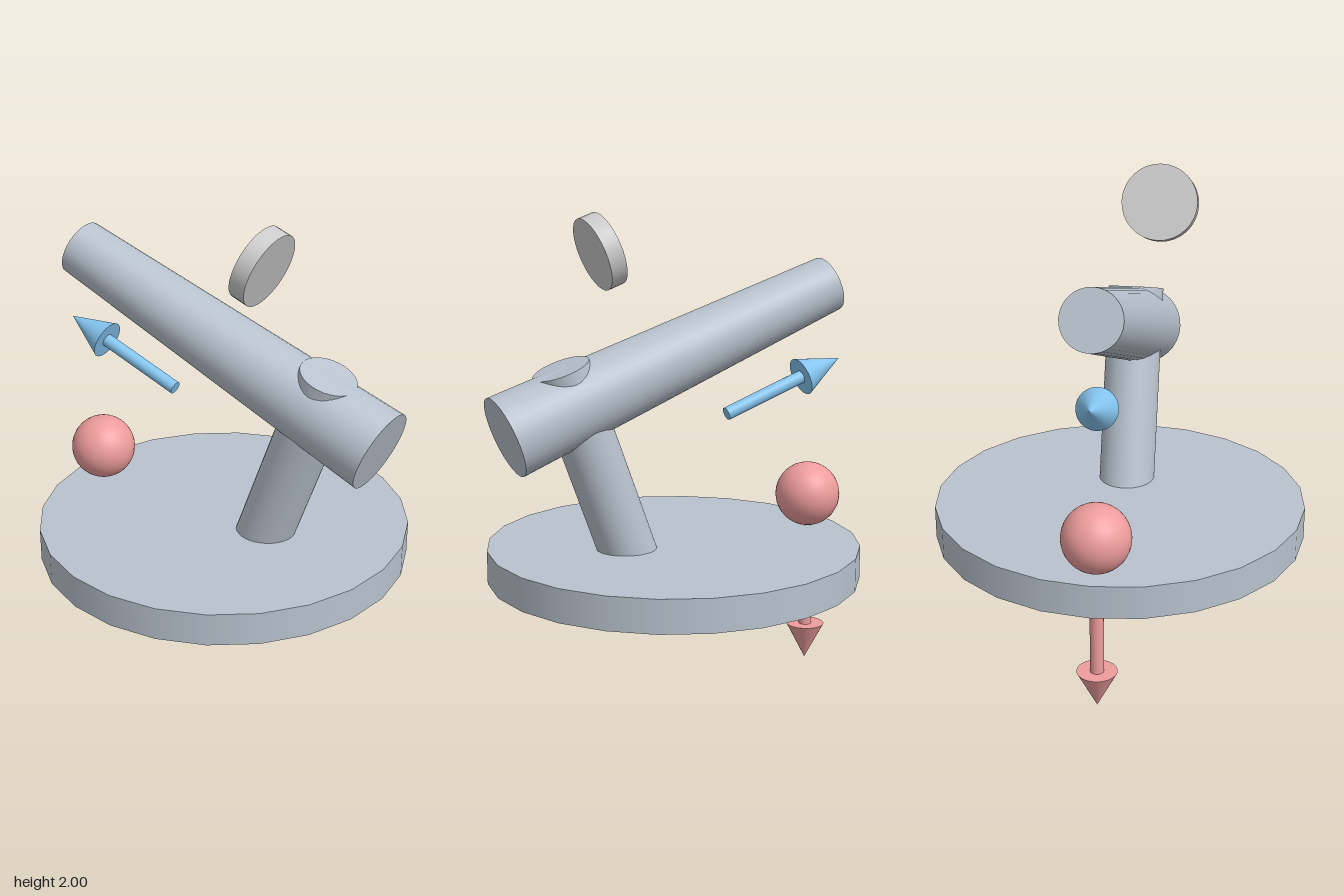
import * as THREE from 'three';

const paint = (color) => new THREE.MeshStandardMaterial({ color });
const V = (x, y, z = 0) => new THREE.Vector3(x, y, z);
const UP = V(0, 1);

// Cylinder or cone running from point a (radius ra) to point b (radius rb)
function rod(name, a, b, ra, rb, material, sides = 32) {
  const dir = b.clone().sub(a);
  const mesh = new THREE.Mesh(new THREE.CylinderGeometry(rb, ra, dir.length(), sides), material);
  mesh.position.copy(a).add(b).multiplyScalar(0.5);
  mesh.quaternion.setFromUnitVectors(UP, dir.normalize());
  mesh.name = name;
  return mesh;
}

// Arrow with a thin shaft and a cone head
function arrow(name, tail, neck, tip, material) {
  const group = new THREE.Group();
  group.name = name;
  group.add(
    rod('arrowShaft', tail, neck, 0.028, 0.028, material),
    rod('arrowHead', neck, tip, 0.083, 0, material),
  );
  return group;
}

export function createModel() {
  const model = new THREE.Group();
  const steel = paint(0xb8c2cd);
  const grey = paint(0xcccccc);
  const red = paint(0xee9c9c);
  const blue = paint(0x84c4ee);

  // Faceted round base
  model.add(rod('base', V(0, 0.477), V(0, 0.617), 0.787, 0.787, steel, 24));

  // Everything above the base leans by the same tilt
  const tilt = THREE.MathUtils.degToRad(20);
  const along = V(-Math.cos(tilt), Math.sin(tilt));
  const across = V(Math.sin(tilt), Math.cos(tilt));

  // Post, passing right through the barrel
  const postTop = V(0.5, 1.396);
  model.add(rod('post', postTop.clone().addScaledVector(across, -0.89), postTop, 0.12, 0.12, steel));

  // Tapered barrel
  const breech = V(0.742, 1.137);
  model.add(rod('barrel', breech, breech.clone().addScaledVector(along, 1.572), 0.173, 0.12, steel));

  // Floating disc, set square to the barrel
  const disc = V(0.268, 1.842, 0.13);
  model.add(rod('disc', disc.clone().addScaledVector(along, -0.036),
    disc.clone().addScaledVector(along, 0.036), 0.157, 0.157, grey));

  // Ball resting on the base
  const ball = new THREE.Mesh(new THREE.SphereGeometry(0.14, 32, 20), red);
  ball.name = 'ball';
  ball.position.set(-0.655, 0.757, 0);
  model.add(ball);

  // Direction arrows
  model.add(arrow('downArrow', V(-0.655, 0.45), V(-0.655, 0.16), V(-0.655, 0), red));
  const tail = V(-0.25, 1.148);
  model.add(arrow('barrelArrow', tail, tail.clone().addScaledVector(along, 0.385),
    tail.clone().addScaledVector(along, 0.585), blue));

  return model;
}
